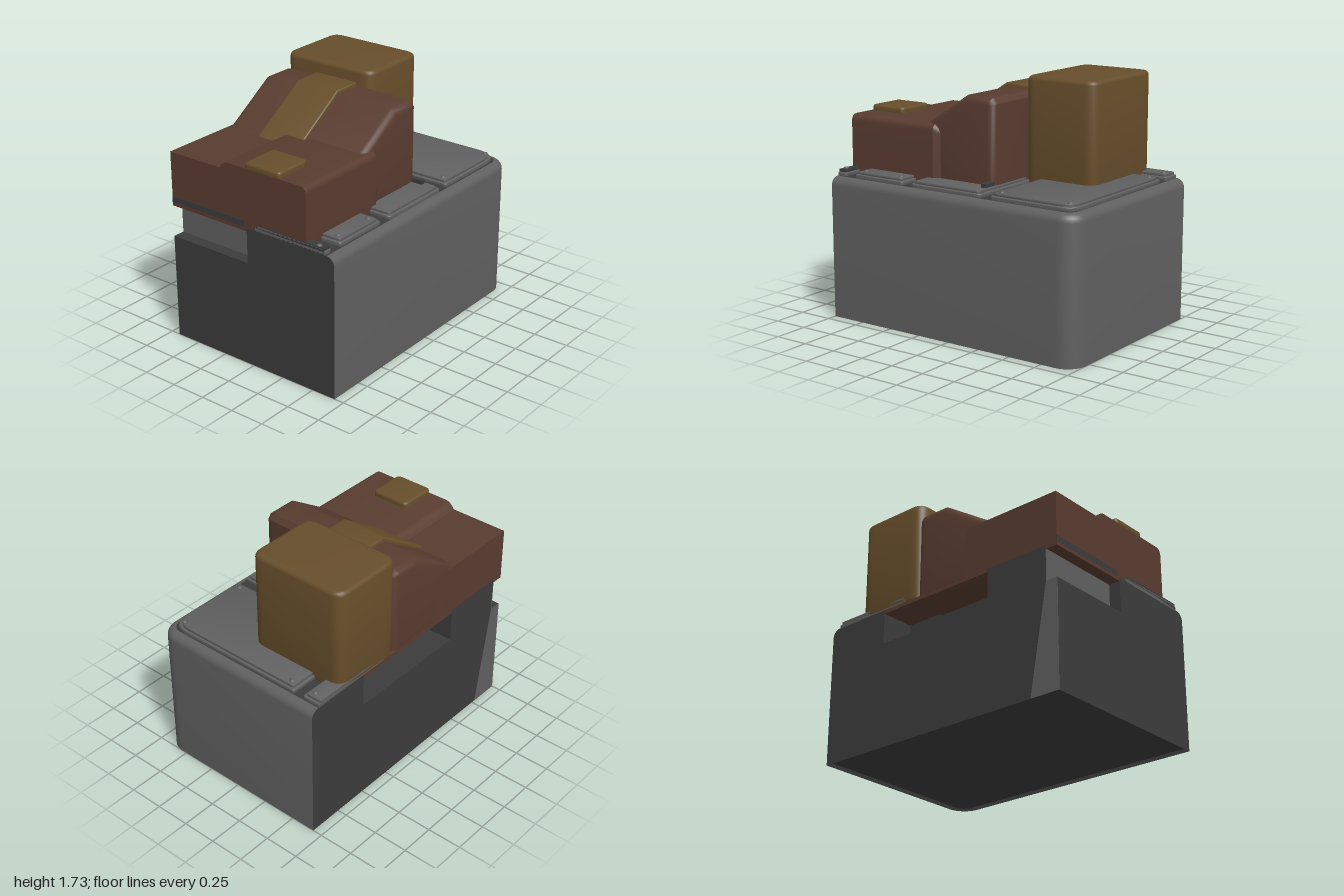
import * as THREE from 'three';
import { toCreasedNormals } from 'three/addons/utils/BufferGeometryUtils.js';

const mat = (name, color) => {
  const m = new THREE.MeshStandardMaterial({ color });
  m.name = name;
  return m;
};

// Closed shape from points
const poly = (pts) => new THREE.Shape(pts.map(([a, b]) => new THREE.Vector2(a, b)));

// Rounded rectangle in plan; r holds the radii for back right, front right, front left, back left
function roundedPlan(x0, x1, z0, z1, r) {
  const [a, b, c, d] = Array.isArray(r) ? r : [r, r, r, r];
  const s = new THREE.Shape();
  s.moveTo(x0 + c, -z1);
  s.lineTo(x1 - b, -z1);
  s.quadraticCurveTo(x1, -z1, x1, -z1 + b);
  s.lineTo(x1, -z0 - a);
  s.quadraticCurveTo(x1, -z0, x1 - a, -z0);
  s.lineTo(x0 + d, -z0);
  s.quadraticCurveTo(x0, -z0, x0, -z0 - d);
  s.lineTo(x0, -z1 + c);
  s.quadraticCurveTo(x0, -z1, x0 + c, -z1);
  return s;
}

// Extrusion whose bevel stays inside the given outline and depth
function extrude(shape, depth, bevel = 0, steps = 1) {
  const g = new THREE.ExtrudeGeometry(shape, {
    depth: depth - 2 * bevel, bevelEnabled: bevel > 0, bevelSize: bevel, bevelThickness: bevel,
    bevelOffset: -bevel, bevelSegments: 4, curveSegments: 8, steps,
  });
  return g.translate(0, 0, bevel);
}
const upward = (shape, y0, y1, bevel) =>
  toCreasedNormals(extrude(shape, y1 - y0, bevel).rotateX(-Math.PI / 2).translate(0, y0, 0), 0.6);
const sideways = (shape, x0, x1, bevel) =>
  toCreasedNormals(extrude(shape, x1 - x0, bevel).rotateY(-Math.PI / 2).translate(x1, 0, 0), 0.6);

// Plan outline of the outer corner, moved in by i, from the front to the left end
function outline(i) {
  const pts = [[0.68 - i, 1]];
  for (let k = 0; k <= 12; k++) {
    const t = (k / 12) * Math.PI / 2, r = 0.14 - i;
    pts.push([0.54 + r * Math.cos(t), -0.86 - r * Math.sin(t)]);
  }
  pts.push([-0.68, -1 + i]);
  return pts;
}

// Outer wall with a rounded top edge, as rows of the outline
function shellGeometry(edge) {
  const rows = [[edge, 0], [0, 0], [0, 1 - edge]];
  for (let k = 1; k <= 6; k++) {
    const t = (k / 6) * Math.PI / 2;
    rows.push([edge * (1 - Math.cos(t)), 1 - edge + edge * Math.sin(t)]);
  }
  const pos = [], idx = [];
  let n = 0;
  rows.forEach(([inset, y], j) => {
    const pts = outline(inset);
    n = pts.length;
    pts.forEach(([x, z], k) => {
      pos.push(x, y, z);
      if (j && k) {
        const c = j * n + k - 1, a = c - n;
        idx.push(a, a + 1, c, a + 1, c + 1, c);
      }
    });
  });
  const g = new THREE.BufferGeometry();
  g.setAttribute('position', new THREE.Float32BufferAttribute(pos, 3));
  g.setIndex(idx);
  return toCreasedNormals(g, 0.6);
}

export function createModel() {
  const model = new THREE.Group();
  const grey = mat('grey metal', 0x606060);
  const dark = mat('dark grey', 0x3c3c3c);
  const brown = mat('brown', 0x593c30);
  const gold = mat('ochre', 0x674e2b);
  const add = (name, geo, m) => {
    const mesh = new THREE.Mesh(geo, m);
    mesh.name = name;
    model.add(mesh);
    return mesh;
  };

  // Base: dark core with two recesses, wrapped by the outer wall
  const edge = 0.06;
  const corner = outline(edge).map(([x, z]) => [x, -z]);
  add('baseLower', upward(poly([...corner, [-0.68, -1]]), 0, 0.75, 0), dark);
  const recessed = [[-0.68, 0.5], [-0.43, 0.5], [-0.43, -0.43], [-0.68, -0.43], [-0.68, -0.91],
    [-0.03, -0.91], [-0.03, -1]];
  add('baseUpper', upward(poly([...corner, ...recessed]), 0.75, 1, 0), dark);
  add('baseWall', shellGeometry(edge), grey);

  // End caps that close the wall at the front and at the open side
  const cap = new THREE.Shape();
  cap.moveTo(0, 0);
  cap.lineTo(edge, 0);
  cap.lineTo(edge, 1 - edge);
  cap.absarc(0, 1 - edge, edge, 0, Math.PI / 2, false);
  cap.lineTo(0, 0);
  add('frontEndCap', new THREE.ShapeGeometry(cap, 8).translate(0.68 - edge, 0, 1), dark);
  const sideCap = new THREE.ShapeGeometry(cap, 8);
  add('sideEndCap', sideCap.rotateY(Math.PI / 2).translate(-0.68, 0, -1 + edge), dark).material = dark;
  sideCap.index.array.reverse();
  sideCap.computeVertexNormals();

  // Recess lining, side facing and the brown deck over the recesses
  add('recessWall', new THREE.BoxGeometry(0.65, 0.225, 0.006).translate(-0.355, 0.8625, 0.912), grey);
  add('sideFacing', sideways(poly([[0.78, 0], [1, 0], [1, 0.75], [0.91, 0.75]]), -0.682, -0.679, 0), grey);
  add('frontDeck', new THREE.BoxGeometry(0.65, 0.026, 0.09).translate(-0.355, 0.988, 0.954), brown);
  add('sideDeck', new THREE.BoxGeometry(0.25, 0.026, 0.93).translate(-0.555, 0.988, -0.035), brown);

  // Stepped front housing, with its far end drawn in
  const f = new THREE.Shape();
  f.moveTo(-0.68, 1);
  f.lineTo(0.46, 1);
  f.lineTo(0.46, 1.36);
  f.quadraticCurveTo(0.46, 1.41, 0.41, 1.41);
  f.lineTo(-0.18, 1.41);
  f.quadraticCurveTo(-0.22, 1.405, -0.245, 1.365);
  f.lineTo(-0.25, 1.36);
  f.lineTo(-0.68, 1.36);
  const housing = extrude(f, 0.758, 0, 18).translate(0, 0, 0.24);
  const p = housing.attributes.position;
  for (let i = 0; i < p.count; i++) {
    if (p.getZ(i) > 0.25) continue;
    if (p.getX(i) > 0.4) p.setX(i, p.getX(i) - 0.03);
    if (p.getY(i) > 1.1) p.setY(i, p.getY(i) - 0.03);
  }
  add('frontHousing', toCreasedNormals(housing, 0.6), brown);

  // Sloping hood
  add('hood', sideways(poly([[-0.2, 0.96], [0.44, 0.96], [0.44, 1.36], [0.04, 1.62], [-0.17, 1.62],
    [-0.2, 1.58]]), -0.68, 0.43, 0.05), brown);

  // Strap that follows the hood
  add('hoodStrap', sideways(poly([[-0.165, 1.59], [0.02, 1.59], [0.4, 1.34], [0.465, 1.37],
    [0.045, 1.65], [-0.155, 1.65], [-0.165, 1.64]]), -0.39, -0.04, 0.012), gold);

  // Tall rear box and small front lid
  add('rearBox', upward(roundedPlan(-0.68, 0.06, -0.735, -0.18, 0.09), 0.98, 1.73, 0.03), gold);
  add('frontLid', upward(roundedPlan(-0.04, 0.25, 0.715, 0.998, 0.035), 1.39, 1.45, 0.015), gold);

  // Raised plates on the deck: x0, x1, z0, z1, corner radii
  const plates = [
    [-0.47, 0.61, -0.935, -0.3, [0.12, 0.02, 0.02, 0.02]],
    [-0.68, -0.545, -0.935, -0.3, [0.02, 0.02, 0, 0]],
    [0.04, 0.62, -0.225, 0.35, 0.03],
    [0.04, 0.61, 0.43, 0.85, 0.02],
    [0.04, 0.61, 0.935, 1, [0.02, 0, 0, 0.02]],
  ];
  plates.forEach(([x0, x1, z0, z1, r]) => {
    const open = z1 === 1 ? 0 : 0.018, left = x0 === -0.68 ? 0 : 0.018;
    add('deckPlateRim', upward(roundedPlan(x0, x1, z0, z1, r), 0.99, 1.025, 0.006), grey);
    add('deckPlate', upward(roundedPlan(x0 + left, x1 - 0.018, z0 + 0.018, z1 - open, r), 1.02, 1.043, 0.005), grey);
  });
  for (const [x0, x1] of [[-0.68, -0.05], [0.05, 0.6]])
    add('frontSlot', new THREE.BoxGeometry(x1 - x0, 0.043, 0.06).translate((x0 + x1) / 2, 1.0225, 0.97), dark);

  // Hinge bar
  add('hingeBar', new THREE.BoxGeometry(0.2, 0.03, 0.035).translate(0.41, 1.055, -0.175), dark);

  // Rivets
  const rivet = new THREE.SphereGeometry(0.019, 12, 4, 0, Math.PI * 2, 0, Math.PI / 2).scale(1, 0.7, 1);
  [[-0.41, -0.88], [0.55, -0.88], [0.55, -0.355], [-0.605, -0.88], [0.55, 0.485], [0.55, 0.795], [0.55, 0.98]]
    .forEach(([x, z]) => add('rivet', rivet, grey).position.set(x, 1.042, z));

  return model;
}
